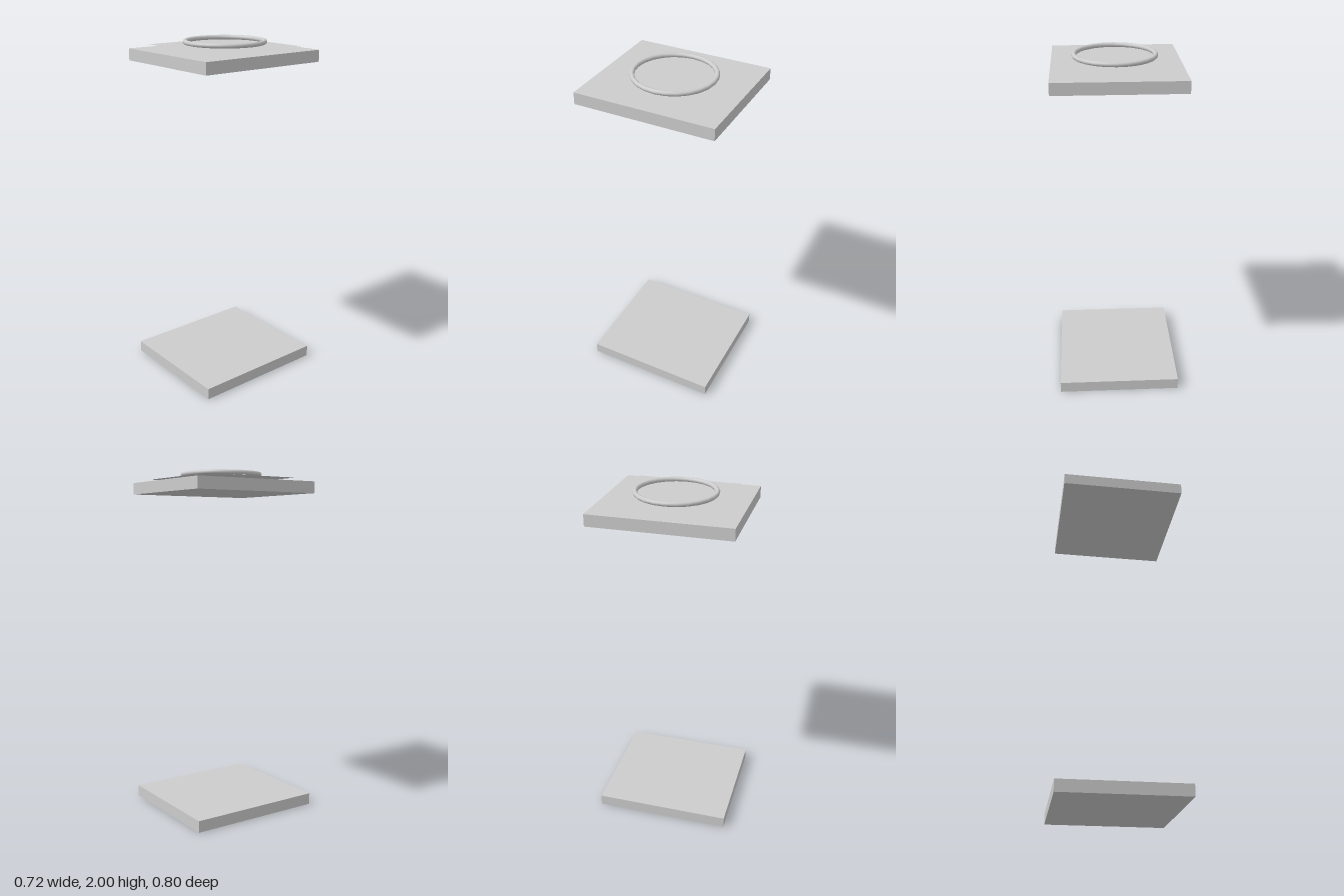
import * as THREE from 'three';

export function createModel() {
  const group = new THREE.Group();
  const material = new THREE.MeshStandardMaterial({ color: 0xcccccc });

  const add = (name, geometry, x, y, z, mat = material) => {
    const mesh = new THREE.Mesh(geometry, mat);
    mesh.name = name;
    mesh.position.set(x, y, z);
    group.add(mesh);
    return mesh;
  };

  // Two equal slabs, one at the floor and one floating near the top
  const thickness = 0.067;
  const slab = new THREE.BoxGeometry(0.72, thickness, 0.8);
  add('bottomSlab', slab, 0, thickness / 2, 0);
  add('topSlab', slab, 0, 1.91, 0);

  // Thin square sheet hovering just above the top slab
  const sheetMaterial = material.clone();
  sheetMaterial.side = THREE.DoubleSide;
  const sheet = new THREE.PlaneGeometry(0.61, 0.61).rotateX(-Math.PI / 2);
  add('sheet', sheet, 0, 1.964, -0.005, sheetMaterial);

  // Ring lying flat above the sheet
  const ring = new THREE.TorusGeometry(0.225, 0.0133, 12, 24).rotateX(-Math.PI / 2);
  add('ring', ring, 0.008, 1.9867, -0.004);

  return group;
}
